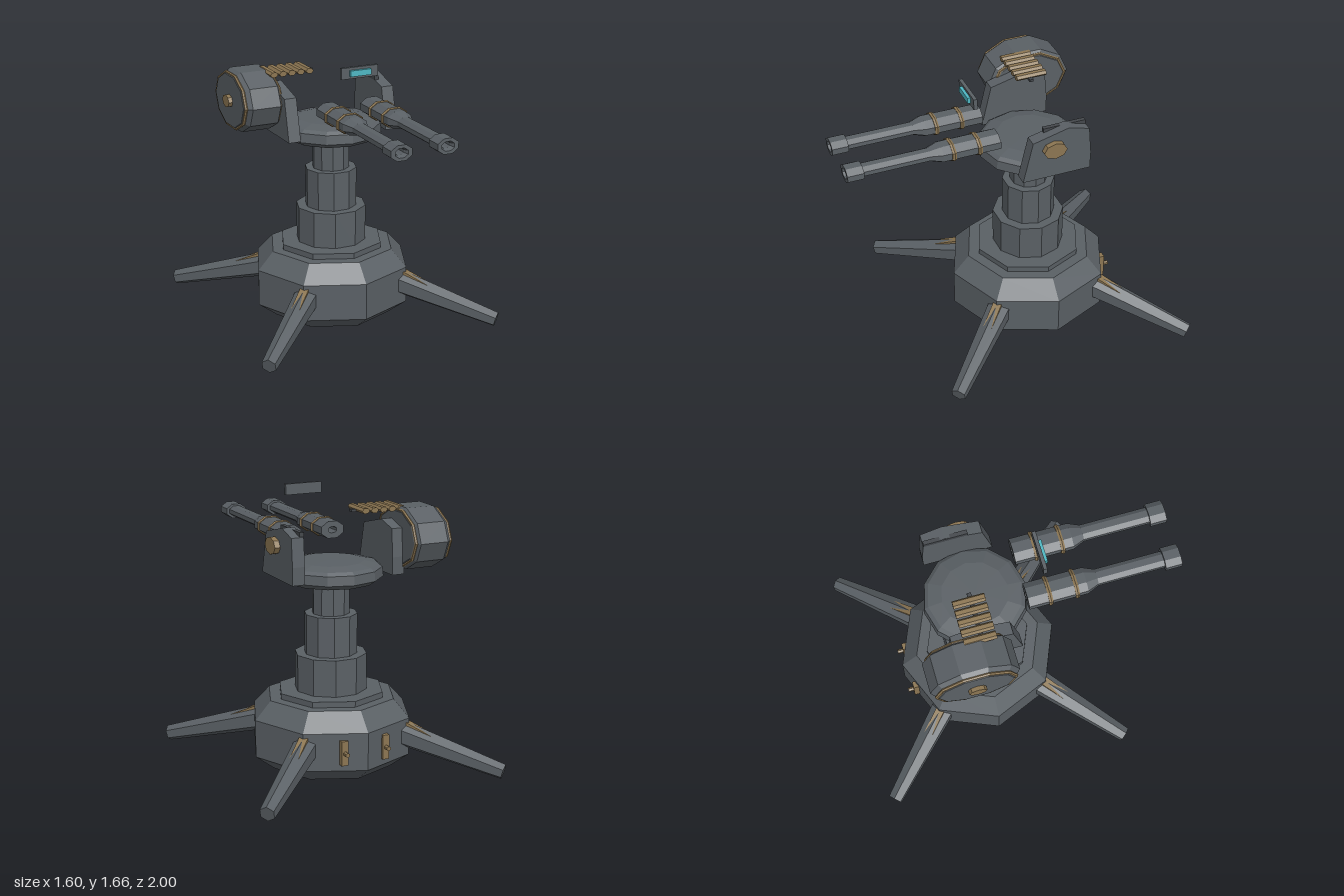
import * as THREE from 'three';

const mat = (name, color, extra = {}) => {
  const m = new THREE.MeshStandardMaterial({ color, ...extra });
  m.name = name;
  return m;
};

export function createModel() {
  const steel = mat('gunmetal', 0x5a6065);
  const dark = mat('dark steel', 0x44484c);
  const brass = mat('brass', 0x8c7652);
  const glass = mat('sight glass', 0x4fb8c4);
  const model = new THREE.Group();
  model.name = 'turret';
  const Z = -0.2; // pedestal axis

  // Faceted mesh
  const add = (parent, name, geometry, material, x = 0, y = 0, z = 0) => {
    const g = geometry.index ? geometry.toNonIndexed() : geometry;
    g.computeVertexNormals();
    const mesh = new THREE.Mesh(g, material);
    mesh.name = name;
    mesh.position.set(x, y, z);
    parent.add(mesh);
    return mesh;
  };
  const box = (parent, name, size, material, x, y, z) =>
    add(parent, name, new THREE.BoxGeometry(...size), material, x, y, z);
  const turned = (profile, sides, start = 0) =>
    new THREE.LatheGeometry(profile.map(([r, y]) => new THREE.Vector2(r, y)), sides, start);

  // Base and telescoping column
  add(model, 'base', turned([[0, 0], [0.38, 0], [0.5, 0.09], [0.5, 0.32], [0.4, 0.43], [0, 0.43]], 8), steel, 0, 0, Z);
  add(model, 'baseCollar', turned([[0.33, 0.42], [0.33, 0.465], [0, 0.465]], 8), steel, 0, 0, Z);
  [[0.22, 0.46, 0.69], [0.162, 0.68, 0.935], [0.115, 0.93, 1.14]].forEach(([r, y0, y1], i) =>
    add(model, `columnStage${i + 1}`, turned([[0, y0], [r, y0], [r, y1], [0, y1]], 10, Math.PI / 2), steel, 0, 0, Z));
  add(model, 'platform', turned([[0, 1.135], [0.272, 1.135], [0.314, 1.165], [0.308, 1.222],
    [0.283, 1.24], [0.2, 1.258], [0, 1.26]], 12), steel, 0, 0, Z);

  // Four splayed legs, built along +z then turned to the diagonals
  for (let i = 0; i < 4; i++) {
    const leg = new THREE.Group();
    leg.name = `leg${i + 1}`;
    leg.position.z = Z;
    leg.rotation.y = Math.PI / 4 + i * Math.PI / 2;
    const inner = new THREE.Vector2(0.35, 0.25), outer = new THREE.Vector2(1.085, 0.048);
    const strut = new THREE.CylinderGeometry(0.048, 0.085, inner.distanceTo(outer), 6);
    strut.rotateX(Math.PI / 2 + Math.atan2(inner.y - outer.y, outer.x - inner.x));
    add(leg, 'strut', strut, steel, 0, (inner.y + outer.y) / 2, (inner.x + outer.x) / 2);
    const gusset = new THREE.BoxGeometry(0.055, 0.05, 0.26);
    gusset.rotateX(0.42);
    add(leg, 'gusset', gusset, brass, 0, 0.235, 0.565);
    model.add(leg);
  }

  // Latches on the back of the base
  for (const x of [-0.135, 0.135]) {
    box(model, 'latchPlate', [0.042, 0.15, 0.06], brass, x, 0.205, -0.64);
    const knob = new THREE.CylinderGeometry(0.014, 0.014, 0.05, 6);
    knob.rotateX(Math.PI / 2);
    add(model, 'latchKnob', knob, brass, x, 0.205, -0.68);
  }

  // Side brackets
  const outline = [[-0.01, 1.182], [-0.07, 1.44], [-0.295, 1.497], [-0.425, 1.46], [-0.44, 1.29], [-0.437, 1.182]];
  for (const x of [-0.366, 0.285]) {
    const shape = new THREE.Shape(outline.map(([z, y]) => new THREE.Vector2(-z, y)));
    const g = new THREE.ExtrudeGeometry(shape, { depth: 0.078, bevelEnabled: false });
    g.rotateY(Math.PI / 2);
    add(model, 'bracket', g, steel, x);
  }
  box(model, 'bracketRail', [0.026, 0.026, 0.265], dark, 0.296, 1.476, -0.29);
  const boss = new THREE.CylinderGeometry(0.073, 0.073, 0.06, 8);
  boss.rotateZ(Math.PI / 2);
  boss.scale(1, 0.71, 1);
  add(model, 'pivotBoss', boss, brass, 0.367, 1.378, Z);

  // Twin hollow barrels, flattened in height
  const k = 1 / Math.cos(Math.PI / 8);
  for (const x of [-0.145, 0.145]) {
    const gun = new THREE.Group();
    gun.name = x < 0 ? 'rightGun' : 'leftGun';
    gun.position.set(x, 1.377, 0);
    gun.scale.y = 0.69;
    const tube = turned([[0.028, 0.07], [0.076, 0.07], [0.076, 0.425], [0.048, 0.495], [0.048, 0.9],
      [0.066, 0.9], [0.066, 1], [0.04, 1], [0.028, 0.97], [0.028, 0.07]].map(([r, y]) => [r * k, y]), 8, Math.PI / 8);
    tube.rotateX(Math.PI / 2);
    add(gun, 'barrel', tube, steel);
    for (const z of [0.2, 0.36]) {
      const ring = new THREE.TorusGeometry(0.074 * k, 0.014, 6, 8);
      ring.rotateZ(Math.PI / 8);
      add(gun, 'barrelBand', ring, brass, 0, 0, z);
    }
    model.add(gun);
  }

  // Ammunition drum on the right side, axis along x
  const drum = new THREE.Group();
  drum.name = 'ammoDrum';
  drum.position.set(0, 1.393, -0.352);
  drum.scale.y = 0.735;
  const along = (g) => g.rotateZ(Math.PI / 2);
  add(drum, 'drumBody', along(turned([[0, 0.355], [0.222, 0.355], [0.264, 0.38], [0.264, 0.56],
    [0.222, 0.605], [0, 0.605]], 10)), steel);
  for (const [x, r] of [[-0.592, 0.234], [-0.364, 0.236]]) {
    const rim = new THREE.TorusGeometry(r, 0.011, 6, 10);
    rim.rotateY(Math.PI / 2);
    add(drum, 'drumRim', rim, brass, x);
  }
  add(drum, 'drumHub', along(new THREE.CylinderGeometry(0.053, 0.053, 0.06, 8)), brass, -0.6);
  model.add(drum);

  // Cartridge belt
  for (let i = 0; i < 5; i++) {
    const shell = new THREE.CylinderGeometry(0.025, 0.025, 0.19, 6);
    shell.rotateX(Math.PI / 2);
    shell.rotateZ(Math.PI / 2);
    shell.scale(1, 0.72, 1);
    add(model, 'cartridge', shell, brass, -0.383 + i * 0.0585, 1.566, -0.27);
  }
  box(model, 'beltLink', [0.29, 0.016, 0.025], dark, -0.245, 1.556, -0.257);

  // Sight
  box(model, 'sightFrame', [0.24, 0.068, 0.022], steel, 0, 1.628, 0.189);
  box(model, 'sightGlass', [0.135, 0.036, 0.018], glass, 0, 1.628, 0.209);

  return model;
}
